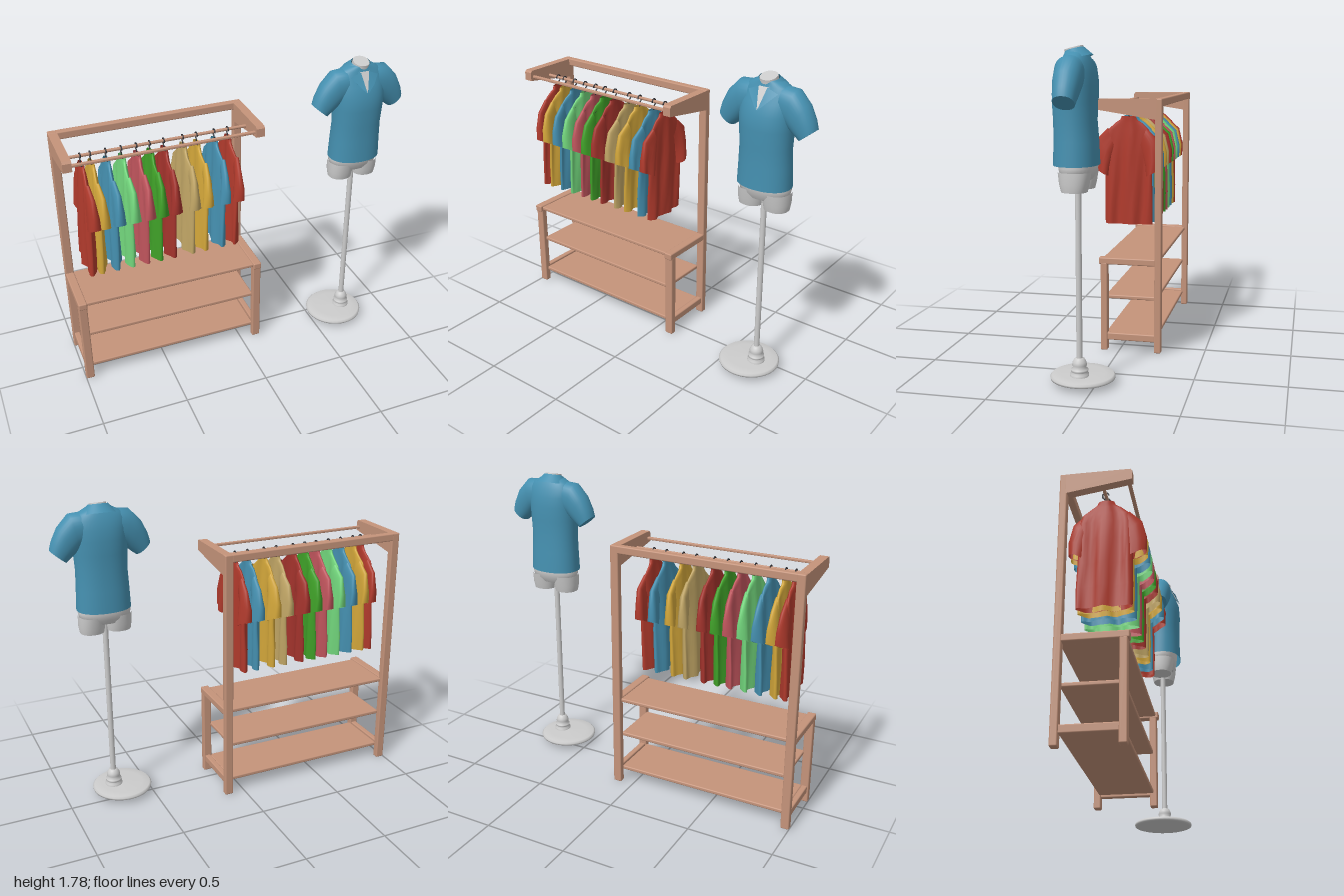
import * as THREE from 'three';
import { RoundedBoxGeometry } from 'three/addons/geometries/RoundedBoxGeometry.js';

const V = (x, y, z) => new THREE.Vector3(x, y, z);
const paint = (color, side = THREE.FrontSide) => new THREE.MeshStandardMaterial({ color, side });
const WOOD = paint(0xc4937a), GREY = paint(0xcccccc), DARK = paint(0x2e2e33);
const BLUE = 0x4590b0;

function add(parent, name, geometry, material, x = 0, y = 0, z = 0) {
  const mesh = new THREE.Mesh(geometry, material);
  mesh.name = name;
  mesh.position.set(x, y, z);
  parent.add(mesh);
  return mesh;
}

// Box given by its limits on each axis
function beam(parent, name, x0, x1, y0, y1, z0, z1, round = 0.007) {
  const geo = new RoundedBoxGeometry(x1 - x0, y1 - y0, z1 - z0, 2, round);
  return add(parent, name, geo, WOOD, (x0 + x1) / 2, (y0 + y1) / 2, (z0 + z1) / 2);
}

// Skin over oval rings [centre, axis u, axis v], where u x v points along the path
function loft(rings, { seg = 32, power = 0.9, capStart = false, capEnd = false } = {}) {
  const pos = [], idx = [];
  const bend = t => Math.sign(t) * Math.abs(t) ** power;
  const ring = ([c, u, v]) => {
    for (let j = 0; j < seg; j++) {
      const a = (j / seg) * Math.PI * 2;
      const p = c.clone().addScaledVector(u, bend(Math.cos(a))).addScaledVector(v, bend(Math.sin(a)));
      pos.push(p.x, p.y, p.z);
    }
  };
  rings.forEach(ring);
  for (let i = 0; i < rings.length - 1; i++) {
    for (let j = 0; j < seg; j++) {
      const k = (j + 1) % seg, a = i * seg, b = a + seg;
      idx.push(a + j, a + k, b + k, a + j, b + k, b + j);
    }
  }
  const cap = (r, flip) => {
    const start = pos.length / 3;
    ring(r);
    pos.push(r[0].x, r[0].y, r[0].z);
    for (let j = 0; j < seg; j++) {
      const a = start + j, b = start + (j + 1) % seg;
      idx.push(start + seg, flip ? b : a, flip ? a : b);
    }
  };
  if (capStart) cap(rings[0], true);
  if (capEnd) cap(rings[rings.length - 1], false);
  const geo = new THREE.BufferGeometry();
  geo.setAttribute('position', new THREE.Float32BufferAttribute(pos, 3));
  geo.setIndex(idx);
  geo.computeVertexNormals();
  return geo;
}

// Level ring: height, z centre, half width, half depth
const level = (y, z, rx, rz, x = 0) => [V(x, y, z), V(rx, 0, 0), V(0, 0, -rz)];

function createRack() {
  const rack = new THREE.Group();
  rack.name = 'clothesRack';
  for (const x of [-1, 0.075]) {
    const x1 = x + 0.05;
    beam(rack, 'backPost', x, x1, 0, 1.49, -0.25, -0.21);
    beam(rack, 'frontLeg', x, x1, 0, 0.53, 0.07, 0.11);
    beam(rack, 'upperSideRail', x, x1, 0.522, 0.562, -0.215, 0.12);
    beam(rack, 'lowerSideRail', x + 0.008, x1 - 0.008, 0.062, 0.106, -0.215, 0.08);
    // Tapered arm reaching forward from the post
    const side = new THREE.Shape([[-0.22, 1.37], [0.13, 1.425], [0.13, 1.475], [0.12, 1.487], [-0.22, 1.487]]
      .map(p => new THREE.Vector2(...p)));
    const arm = new THREE.ExtrudeGeometry(side, { depth: 0.05, bevelEnabled: false });
    arm.rotateY(-Math.PI / 2);
    add(rack, 'topArm', arm, WOOD, x1);
  }
  beam(rack, 'topBeam', -0.96, 0.085, 1.445, 1.49, -0.25, -0.21);
  beam(rack, 'topShelf', -0.955, 0.08, 0.533, 0.555, -0.23, 0.105);
  beam(rack, 'middleShelf', -0.955, 0.08, 0.305, 0.328, -0.22, 0.09);
  beam(rack, 'bottomShelf', -0.955, 0.08, 0.075, 0.098, -0.22, 0.09);
  beam(rack, 'frontRail', -0.955, 0.08, 1.44, 1.455, 0.095, 0.115, 0.004);
  const rod = new THREE.CylinderGeometry(0.009, 0.009, 1.04, 16).rotateZ(Math.PI / 2);
  add(rack, 'hangingRod', rod, WOOD, -0.4375, 1.425, -0.03);
  return rack;
}

// Ripple cloth sideways, more strongly toward the hem
function ripple(geo, phase) {
  const p = geo.attributes.position;
  for (let i = 0; i < p.count; i++) {
    const y = p.getY(i), z = p.getZ(i), loose = 0.3 + 0.7 * Math.min(1, Math.max(0, (1.35 - y) / 0.35));
    p.setX(i, p.getX(i) + loose * (0.01 * Math.sin(z * 48 + phase) + 0.004 * Math.sin(z * 90 + y * 9)));
  }
  geo.computeVertexNormals();
  return geo;
}

function createHangingShirt(color, i) {
  const shirt = new THREE.Group();
  shirt.name = 'hangingShirt';
  const cloth = paint(color, THREE.DoubleSide), phase = i * 0.35;
  const body = [[0.74, 0.03, 0.143], [0.86, 0.029, 0.145], [1.0, 0.027, 0.142], [1.15, 0.024, 0.14],
    [1.25, 0.019, 0.138], [1.3, 0.016, 0.122], [1.34, 0.014, 0.08], [1.36, 0.014, 0.05], [1.38, 0.014, 0.042]]
    .map(([y, rx, rz]) => level(y, -0.025, rx, rz, -0.012 * (1.36 - y) / 0.6));
  add(shirt, 'shirtBody', ripple(loft(body, { seg: 48 }), phase), cloth);
  for (const s of [-1, 1]) {
    const sleeve = [[0.095, 1.255, 0.02, 0.055, 0.016], [0.135, 1.2, 0.045, 0.05, 0.022],
      [0.155, 1.12, 0.05, 0.03, 0.028], [0.158, 1.05, 0.045, 0.022, 0.032]]
      .map(([z, y, uz, uy, t]) => [V(0.004, y, -0.018 + s * z), V(0, uy, s * uz), V(-s * t, 0, 0)]);
    add(shirt, 'shirtSleeve', ripple(loft(sleeve, { seg: 24 }), phase), cloth);
  }
  // Hanger: sloping bar under the shoulders and a hook over the rod
  const bar = new THREE.CatmullRomCurve3([V(0, 1.3, -0.13), V(0, 1.35, -0.05), V(0, 1.37, -0.03),
    V(0, 1.35, -0.01), V(0, 1.3, 0.07)]);
  add(shirt, 'hangerBar', new THREE.TubeGeometry(bar, 16, 0.006, 6), DARK);
  const hook = new THREE.CatmullRomCurve3([V(0, 1.36, -0.03), V(0, 1.395, -0.03), V(0, 1.41, -0.045),
    V(0, 1.43, -0.045), V(0, 1.44, -0.03), V(0, 1.43, -0.015), V(0, 1.42, -0.014)]);
  add(shirt, 'hangerHook', new THREE.TubeGeometry(hook, 20, 0.004, 6), DARK);
  return shirt;
}

function createMannequin() {
  const figure = new THREE.Group();
  figure.name = 'mannequin';
  figure.position.x = 0.715;
  const lathe = pts => new THREE.LatheGeometry(pts.map(p => new THREE.Vector2(...p)), 40);

  // Stand
  add(figure, 'standBase', lathe([[0, 0.046], [0.1, 0.038], [0.16, 0.027], [0.173, 0.031], [0.175, 0.042],
    [0.165, 0.052], [0.12, 0.056], [0, 0.06]]), GREY, -0.05, 0, 0.075);
  add(figure, 'standCollar', lathe([[0.05, 0.05], [0.05, 0.07], [0.038, 0.076], [0.046, 0.085], [0.046, 0.095],
    [0.033, 0.104], [0.04, 0.118], [0.036, 0.135], [0.026, 0.152], [0.016, 0.156]]), GREY, 0, 0, 0.08);
  add(figure, 'standPole', new THREE.CylinderGeometry(0.016, 0.016, 1.04, 20), GREY, 0, 0.63, 0.08);

  // Hips, thigh stubs and neck
  add(figure, 'hips', loft([level(1.105, 0.078, 0.11, 0.07), level(1.135, 0.077, 0.143, 0.088),
    level(1.17, 0.077, 0.149, 0.096), level(1.25, 0.08, 0.142, 0.1)], { capStart: true }), GREY);
  for (const s of [-1, 1]) {
    add(figure, 'thighStub', loft([level(1.05, 0.078, 0.067, 0.066, s * 0.077),
      level(1.09, 0.078, 0.073, 0.076, s * 0.077), level(1.15, 0.077, 0.074, 0.085, s * 0.075)],
    { capStart: true }), GREY);
  }
  add(figure, 'neck', loft([[1.68, 0.08, 0.055], [1.73, 0.088, 0.047], [1.765, 0.097, 0.045]]
    .map(([y, z, r]) => [V(0, y, z), V(r, 0, 0), V(0, 0.012, -r * 1.05)]), { capEnd: true }), GREY);

  // Shirt
  const cloth = paint(BLUE, THREE.DoubleSide);
  const body = [[1.18, 0.085, 0.152, 0.115], [1.3, 0.086, 0.147, 0.111], [1.4, 0.09, 0.143, 0.107],
    [1.5, 0.092, 0.148, 0.111], [1.58, 0.09, 0.152, 0.109], [1.64, 0.082, 0.152, 0.094],
    [1.69, 0.078, 0.148, 0.076], [1.72, 0.08, 0.12, 0.062], [1.74, 0.083, 0.08, 0.055], [1.75, 0.086, 0.056, 0.05]];
  add(figure, 'wornShirtBody', loft(body.map(([y, z, rx, rz]) => level(y, z, rx, rz)), { seg: 48 }), cloth);
  for (const s of [-1, 1]) {
    const sleeve = [[0.09, 1.64, 0.005, 0.088, 0.07], [0.145, 1.625, 0.02, 0.098, 0.074],
      [0.19, 1.578, 0.04, 0.077, 0.068], [0.222, 1.53, 0.044, 0.052, 0.06], [0.237, 1.5, 0.042, 0.035, 0.055]]
      .map(([x, y, ux, uy, t]) => [V(s * x, y, 0.084), V(s * ux, uy, 0), V(0, 0, s * t)]);
    add(figure, 'wornShirtSleeve', loft(sleeve, { capEnd: true }), cloth);
  }

  // Folded collar with an open V at the front
  const band = new THREE.CylinderGeometry(0.056, 0.1, 0.05, 32, 2, true, 0.4, Math.PI * 2 - 0.8).scale(1, 1, 0.82);
  const collar = add(figure, 'collar', band, cloth, 0, 1.735, 0.085);
  collar.rotation.x = 0.25;
  const patch = (name, pts, material) => {
    const geo = new THREE.BufferGeometry().setFromPoints(pts);
    geo.setIndex(pts.length === 4 ? [0, 1, 2, 0, 2, 3] : [0, 1, 2]);
    geo.computeVertexNormals();
    add(figure, name, geo, material);
  };
  for (const s of [1, -1]) {
    const flap = [V(s * 0.025, 1.72, 0.148), V(s * 0.003, 1.61, 0.203), V(s * 0.048, 1.655, 0.182),
      V(s * 0.085, 1.695, 0.145)];
    patch('collarFlap', s > 0 ? flap : flap.reverse(), cloth);
  }
  patch('openNeck', [V(-0.03, 1.72, 0.142), V(0, 1.61, 0.2), V(0.03, 1.72, 0.142)],
    paint(0xcccccc, THREE.DoubleSide));
  return figure;
}

export function createModel() {
  const model = new THREE.Group();
  model.name = 'clothesDisplay';
  model.add(createRack(), createMannequin());
  const red = 0xb03a2c, yellow = 0xd2a63a, tan = 0xc0a565;
  const shirts = [[-0.875, red], [-0.82, yellow], [-0.735, BLUE], [-0.65, 0x72d67c], [-0.565, 0xbf545c],
    [-0.49, 0x3fa028], [-0.41, 0xa3332c], [-0.3, tan], [-0.22, yellow], [-0.115, BLUE], [-0.035, red]];
  shirts.forEach(([x, color], i) => {
    const shirt = createHangingShirt(color, i);
    shirt.position.x = x;
    model.add(shirt);
  });
  return model;
}
